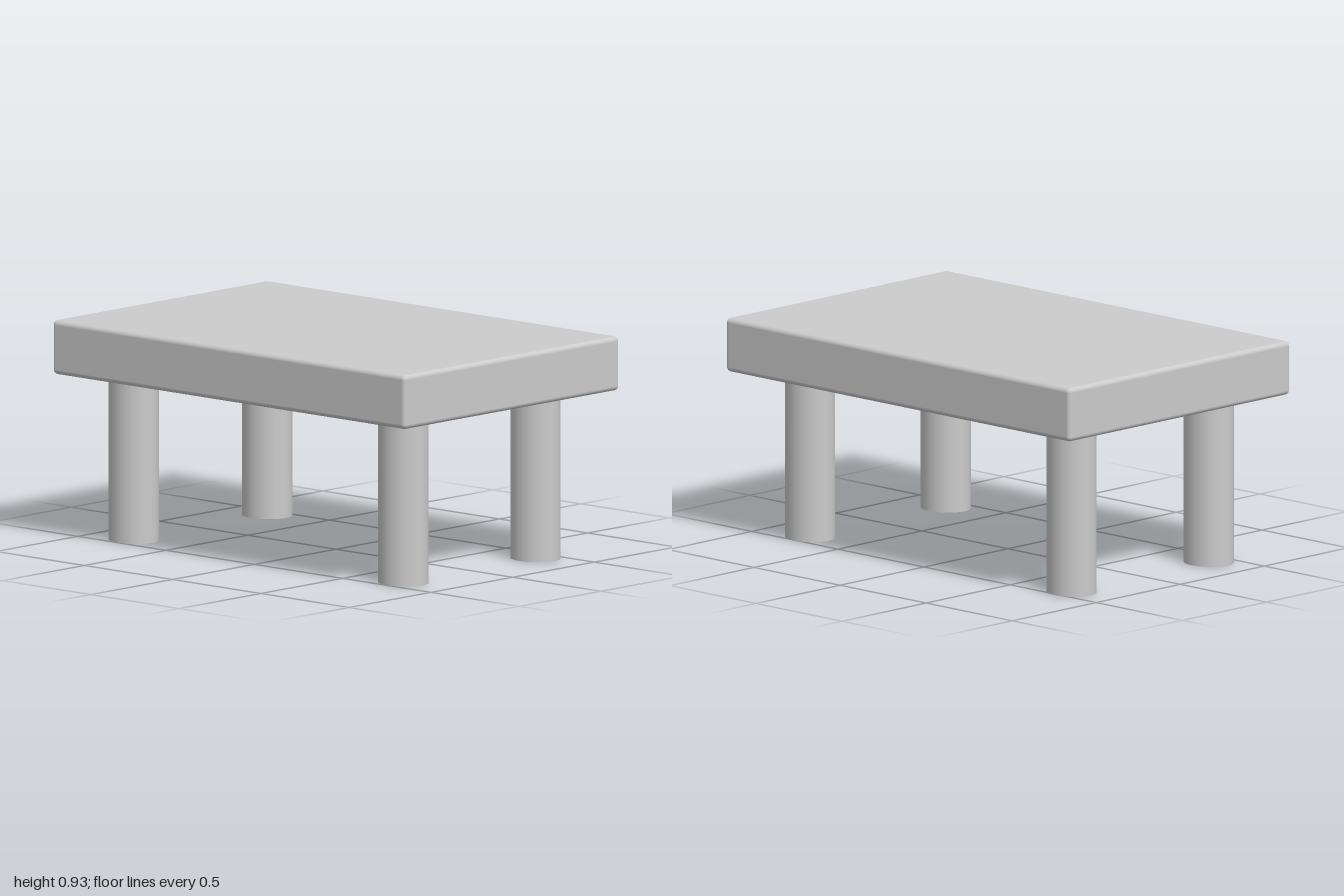
import * as THREE from 'three';
import { RoundedBoxGeometry } from 'three/addons/geometries/RoundedBoxGeometry.js';

export function createModel() {
  const model = new THREE.Group();
  model.name = 'table';
  const material = new THREE.MeshStandardMaterial({ color: 0xcccccc });

  // Thick slab with softly rounded edges
  const bottom = 0.705, top = 0.933;
  const tabletop = new THREE.Mesh(
    new RoundedBoxGeometry(1.318, top - bottom, 2, 4, 0.02), material);
  tabletop.name = 'tabletop';
  tabletop.position.y = (top + bottom) / 2;
  model.add(tabletop);

  // Four slightly oval legs
  const legGeometry = new THREE.CylinderGeometry(1, 1, bottom, 32);
  legGeometry.scale(0.099, 1, 0.11);
  const legs = [
    ['frontLeftLeg', 0.408, 0.752],
    ['frontRightLeg', -0.4, 0.752],
    ['backLeftLeg', 0.417, -0.776],
    ['backRightLeg', -0.4, -0.776],
  ];
  for (const [name, x, z] of legs) {
    const leg = new THREE.Mesh(legGeometry, material);
    leg.name = name;
    leg.position.set(x, bottom / 2, z);
    model.add(leg);
  }
  return model;
}
